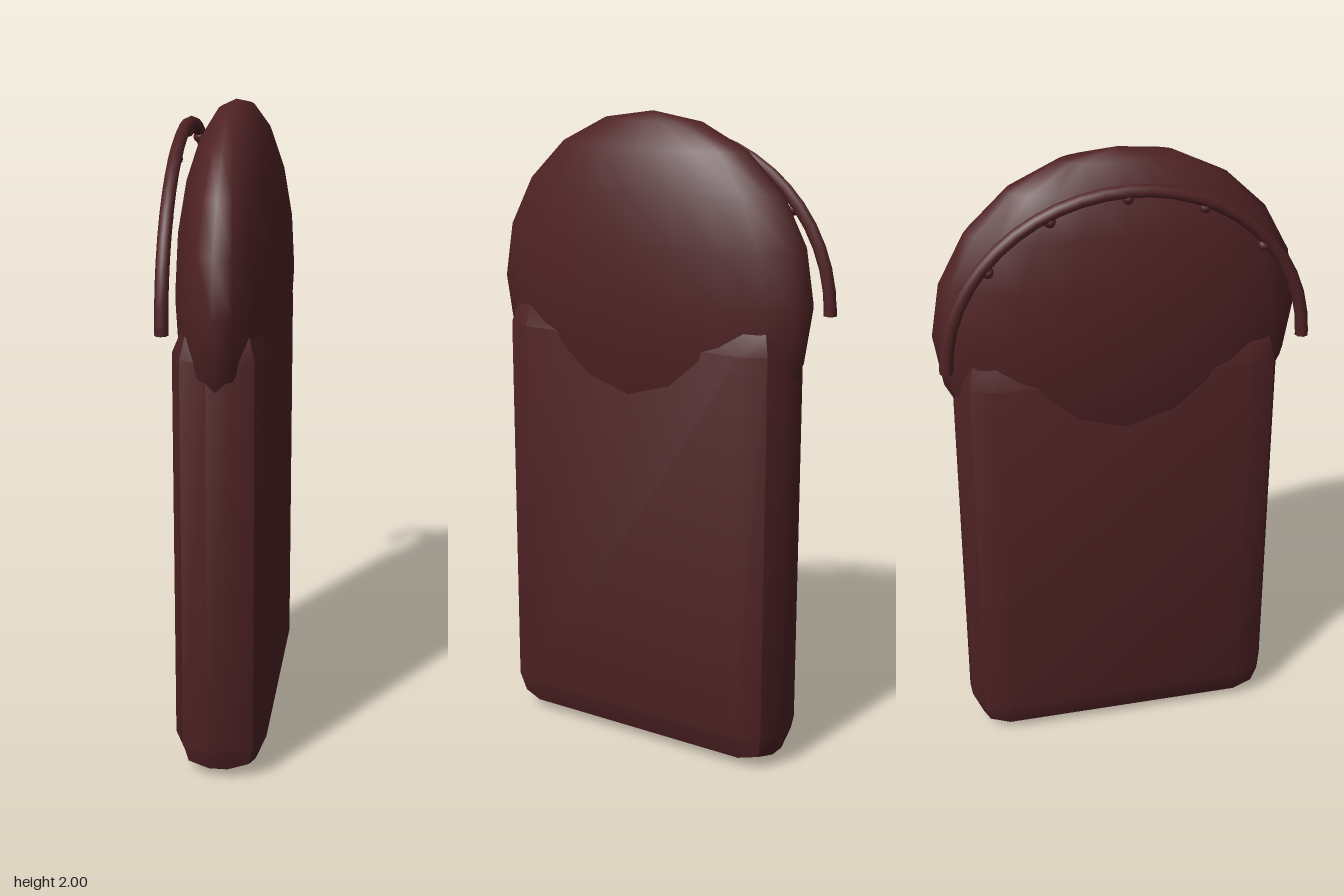
import * as THREE from 'three';
import { RoundedBoxGeometry } from 'three/addons/geometries/RoundedBoxGeometry.js';
import { toCreasedNormals } from 'three/addons/utils/BufferGeometryUtils.js';

export function createModel() {
  const model = new THREE.Group();
  model.name = 'roundedTablet';
  const maroon = new THREE.MeshStandardMaterial({ color: 0x4f2224 });
  maroon.name = 'darkMaroon';

  const add = (name, geometry, parent = model) => {
    const mesh = new THREE.Mesh(geometry, maroon);
    mesh.name = name;
    parent.add(mesh);
    return mesh;
  };

  // Slab with two-step bevelled edges
  const slab = new RoundedBoxGeometry(0.28, 1.435, 1.0, 1, 0.112);
  add('body', toCreasedNormals(slab, Math.PI / 6)).position.y = 1.435 / 2;

  // Flattened dome on top
  const dome = add('dome', new THREE.SphereGeometry(1, 20, 10));
  dome.scale.set(0.17, 0.54, 0.555);
  dome.position.y = 1.46;

  // Thin arched rail beside the dome
  const rail = new THREE.Group();
  rail.name = 'rail';
  rail.position.set(-0.145, 1.415, 0);
  model.add(rail);

  const archPoint = (angle, inset = 0) =>
    new THREE.Vector3(0, Math.cos(angle) * (0.508 - inset), Math.sin(angle) * (0.535 - inset));
  const points = [];
  for (let i = 0; i <= 20; i++) points.push(archPoint((i / 20 - 0.5) * Math.PI));
  add('arch', new THREE.TubeGeometry(new THREE.CatmullRomCurve3(points), 24, 0.02, 8), rail);

  // Closed ends of the rail
  for (const side of [-1, 1]) {
    add('railEnd', new THREE.CylinderGeometry(0.0205, 0.0205, 0.025, 8), rail)
      .position.set(0, 0.01, side * 0.535);
  }

  // Small beads along the inside of the rail
  for (let i = -2; i <= 2; i++) {
    add('bead', new THREE.SphereGeometry(0.018, 8, 6), rail)
      .position.copy(archPoint(i * 0.45, 0.02));
  }

  return model;
}
